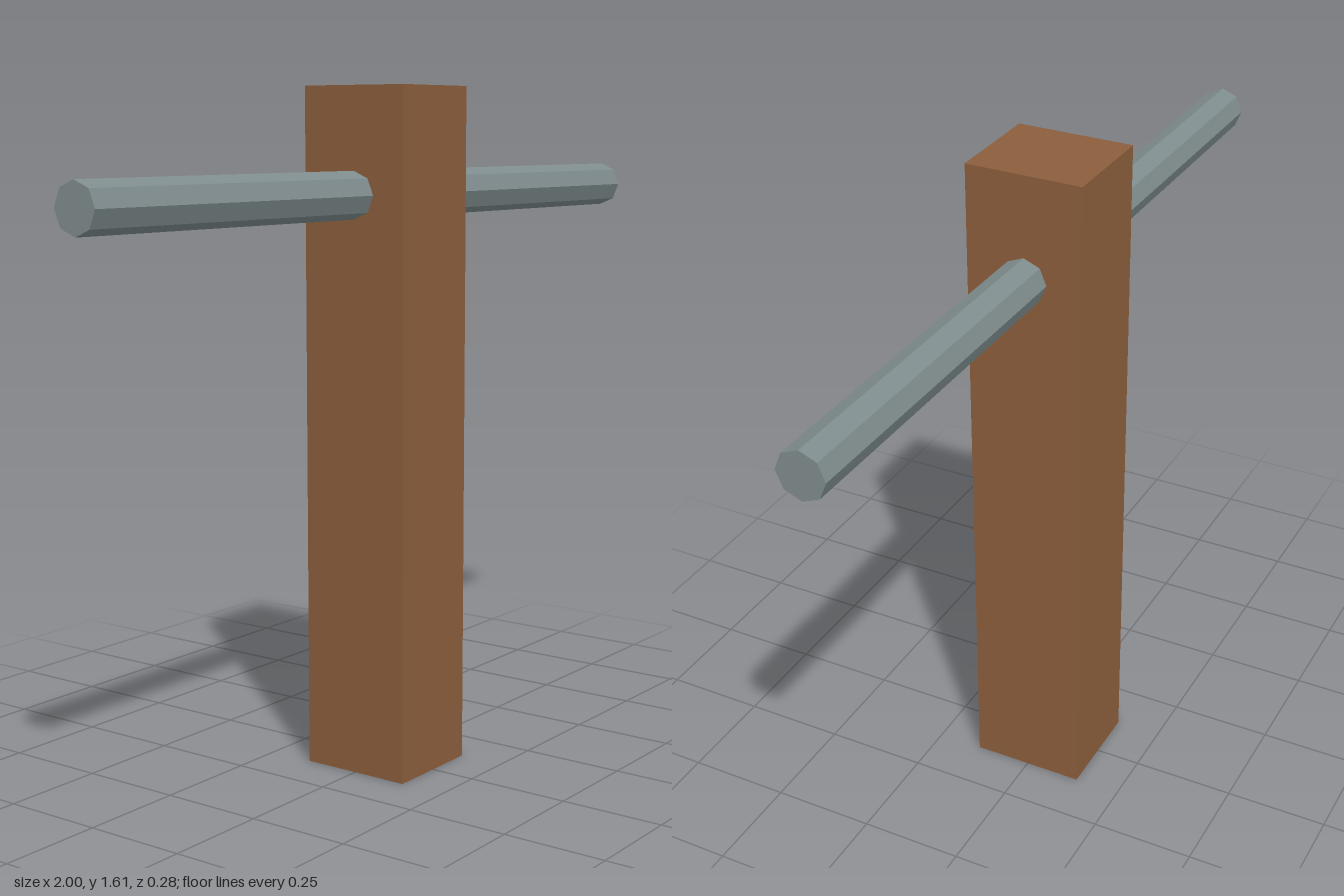
import * as THREE from 'three';

export function createModel() {
  const group = new THREE.Group();
  const add = (name, geometry, color, y) => {
    const mesh = new THREE.Mesh(geometry, new THREE.MeshStandardMaterial({ color, flatShading: true }));
    mesh.name = name;
    mesh.position.y = y;
    group.add(mesh);
    return mesh;
  };

  // Upright wooden post
  const height = 1.61;
  add('post', new THREE.BoxGeometry(0.25, height, 0.277), 0x8b5e3c, height / 2);

  // Eight-sided metal bar running through the post from side to side
  const bar = add('crossbar', new THREE.CylinderGeometry(0.055, 0.055, 2, 8), 0x7f8c8d, 1.364);
  bar.rotation.z = Math.PI / 2;

  return group;
}
